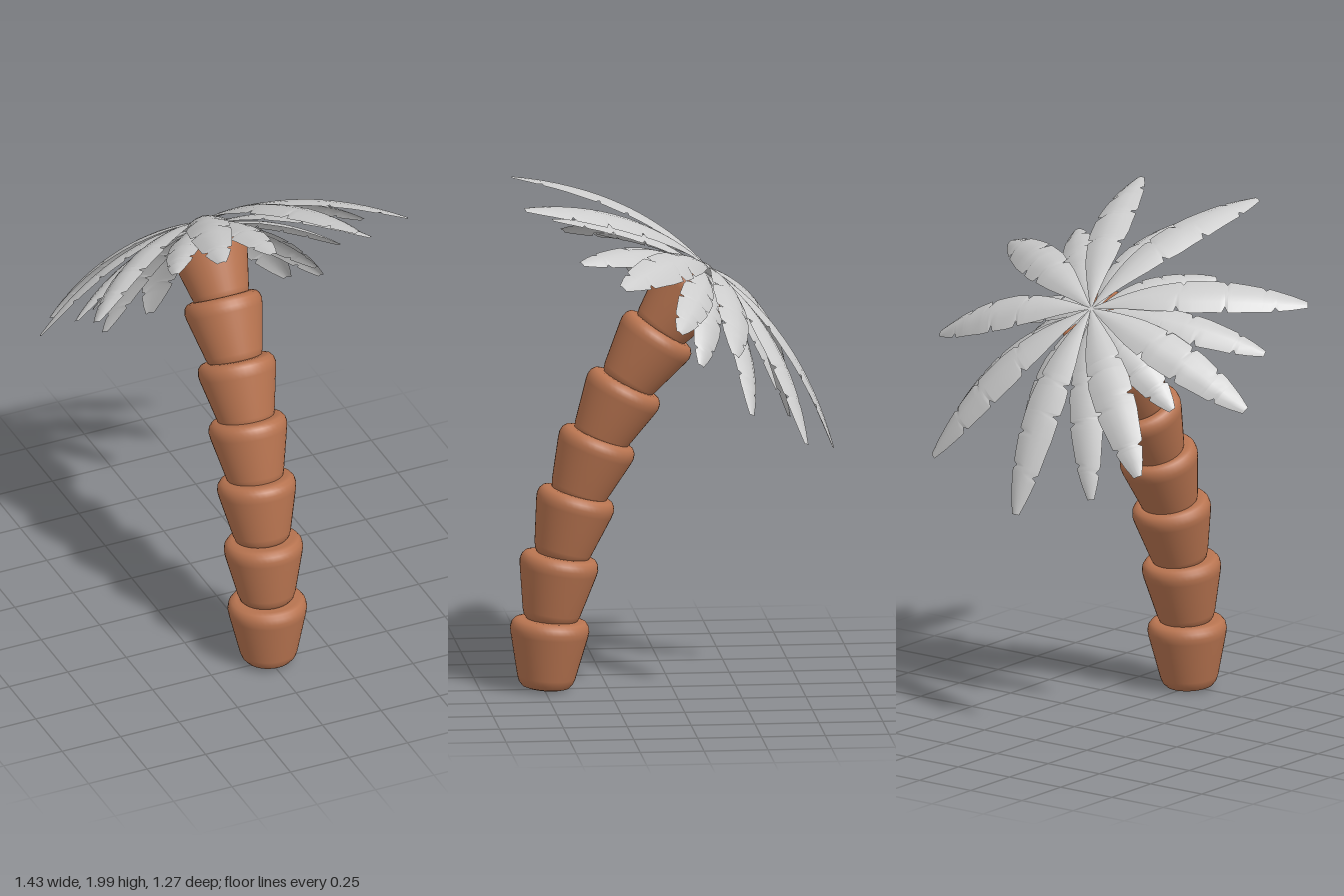
import * as THREE from 'three';

const trunkMat = new THREE.MeshStandardMaterial({ color: 0xb87450 });
const leafMat = new THREE.MeshStandardMaterial({ color: 0xcccccc, side: THREE.DoubleSide });

// Axis of the leaning crown
const CROWN_TILT = THREE.MathUtils.degToRad(38);
const crownAxis = new THREE.Vector3(0, Math.cos(CROWN_TILT), -Math.sin(CROWN_TILT));

// Half-width of a frond along its length: [t, share of full width]
const OUTLINE = [[0, 0.03], [0.15, 0.4], [0.3, 0.75], [0.5, 1], [0.68, 0.96], [0.85, 0.72], [0.95, 0.42], [1, 0.2]];
function outlineAt(t) {
  for (let i = 1; i < OUTLINE.length; i++) {
    const [t0, w0] = OUTLINE[i - 1], [t1, w1] = OUTLINE[i];
    if (t <= t1) return w0 + (w1 - w0) * (t - t0) / (t1 - t0);
  }
  return OUTLINE[OUTLINE.length - 1][1];
}

// Small seeded generator
function seeded(seed) {
  let s = seed;
  return () => (s = (s * 16807) % 2147483647) / 2147483647;
}

// Curved frond with drooping edges and small tears cut into both sides
function frondGeometry(hub, tip, width, seed) {
  const rand = seeded(seed * 7919 + 17);
  const length = hub.distanceTo(tip);
  const mid = hub.clone().lerp(tip, 0.5).addScaledVector(crownAxis, 0.2 * length);
  const spine = new THREE.QuadraticBezierCurve3(hub, mid, tip);

  const tears = [-1, 1].map(() => [0.42, 0.62, 0.84].map((t) => t + (rand() - 0.5) * 0.1));
  const rows = [];
  for (let i = 0; i <= 16; i++) rows.push(i / 16);
  tears.flat().forEach((t) => rows.push(t - 0.014, t, t + 0.014));
  rows.sort((a, b) => a - b);

  const halfWidth = (t, side) => {
    let w = outlineAt(t);
    for (const tear of tears[side]) {
      const d = Math.abs(t - tear);
      if (d < 0.0139) w *= 0.7 + 0.3 * d / 0.014;
    }
    return w * width;
  };

  const pos = [], index = [];
  const across = [-1, -0.5, 0, 0.5, 1];
  rows.forEach((t, r) => {
    const p = spine.getPoint(t), tangent = spine.getTangent(t);
    const side = new THREE.Vector3().crossVectors(tangent, crownAxis).normalize();
    const up = new THREE.Vector3().crossVectors(side, tangent);
    for (const a of across) {
      const w = halfWidth(t, a < 0 ? 0 : 1);
      const v = p.clone().addScaledVector(side, a * w).addScaledVector(up, -0.3 * a * a * w);
      pos.push(v.x, v.y, v.z);
    }
    if (r === 0) return;
    for (let k = 0; k < 4; k++) {
      const a = (r - 1) * 5 + k, b = r * 5 + k;
      index.push(a, a + 1, b, b, a + 1, b + 1);
    }
  });
  const geo = new THREE.BufferGeometry();
  geo.setAttribute('position', new THREE.Float32BufferAttribute(pos, 3));
  geo.setIndex(index);
  geo.computeVertexNormals();
  return geo;
}

export function createModel() {
  const model = new THREE.Group();
  model.name = 'palmTree';

  // Trunk: stacked tapered cups with rounded rims, origin at the flat top
  const trunk = new THREE.Group();
  trunk.name = 'trunk';
  const profile = [
    [0, -0.275], [0.07, -0.275], [0.092, -0.268], [0.106, -0.252], [0.114, -0.23],
    [0.152, -0.062], [0.155, -0.04], [0.151, -0.02], [0.14, -0.006], [0.122, 0], [0, 0],
  ].map(([r, y]) => new THREE.Vector2(r, y));
  const cup = new THREE.LatheGeometry(profile, 40);
  const tops = [ // y, z, lean in degrees
    [0.28, 0.475, 4], [0.535, 0.435, 9], [0.78, 0.367, 15], [1.005, 0.28, 21],
    [1.215, 0.172, 27], [1.425, 0.04, 33], [1.62, -0.105, 38],
  ];
  tops.forEach(([y, z, lean], i) => {
    const seg = new THREE.Mesh(cup, trunkMat);
    seg.name = `trunkSegment${i + 1}`;
    seg.position.set(0, y, z);
    seg.rotation.x = -THREE.MathUtils.degToRad(lean);
    trunk.add(seg);
  });
  model.add(trunk);

  // Fronds fanning out from the crown: tip x, y, z
  const crown = new THREE.Group();
  crown.name = 'crown';
  const upper = [
    [0, 0.94, -0.635], [0.52, 1.06, -0.48], [0.71, 1.46, -0.18], [0.7, 1.735, 0.26],
    [0.33, 1.98, 0.61], [-0.25, 1.99, 0.6], [-0.68, 1.685, 0.36], [-0.715, 1.36, -0.09],
    [-0.49, 1.14, -0.49],
  ];
  const lower = [
    [0.13, 1.2, -0.4], [0.565, 1.19, -0.26], [0.46, 1.37, -0.07], [0.52, 1.515, 0.02],
    [0.48, 1.79, 0.4], [0.03, 1.875, 0.47], [-0.3, 1.75, 0.27], [-0.655, 1.535, 0.115],
    [-0.44, 1.34, -0.2], [-0.26, 1.01, -0.49],
  ];
  const addLayer = (tips, name, hub, width) => tips.forEach((tip, i) => {
    const geo = frondGeometry(hub, new THREE.Vector3(...tip), width, i + tips.length);
    const frond = new THREE.Mesh(geo, leafMat);
    frond.name = `${name}${i + 1}`;
    crown.add(frond);
  });
  addLayer(upper, 'upperFrond', new THREE.Vector3(0, 1.665, -0.143), 0.085);
  addLayer(lower, 'lowerFrond', new THREE.Vector3(0, 1.645, -0.13), 0.072);
  model.add(crown);

  return model;
}
